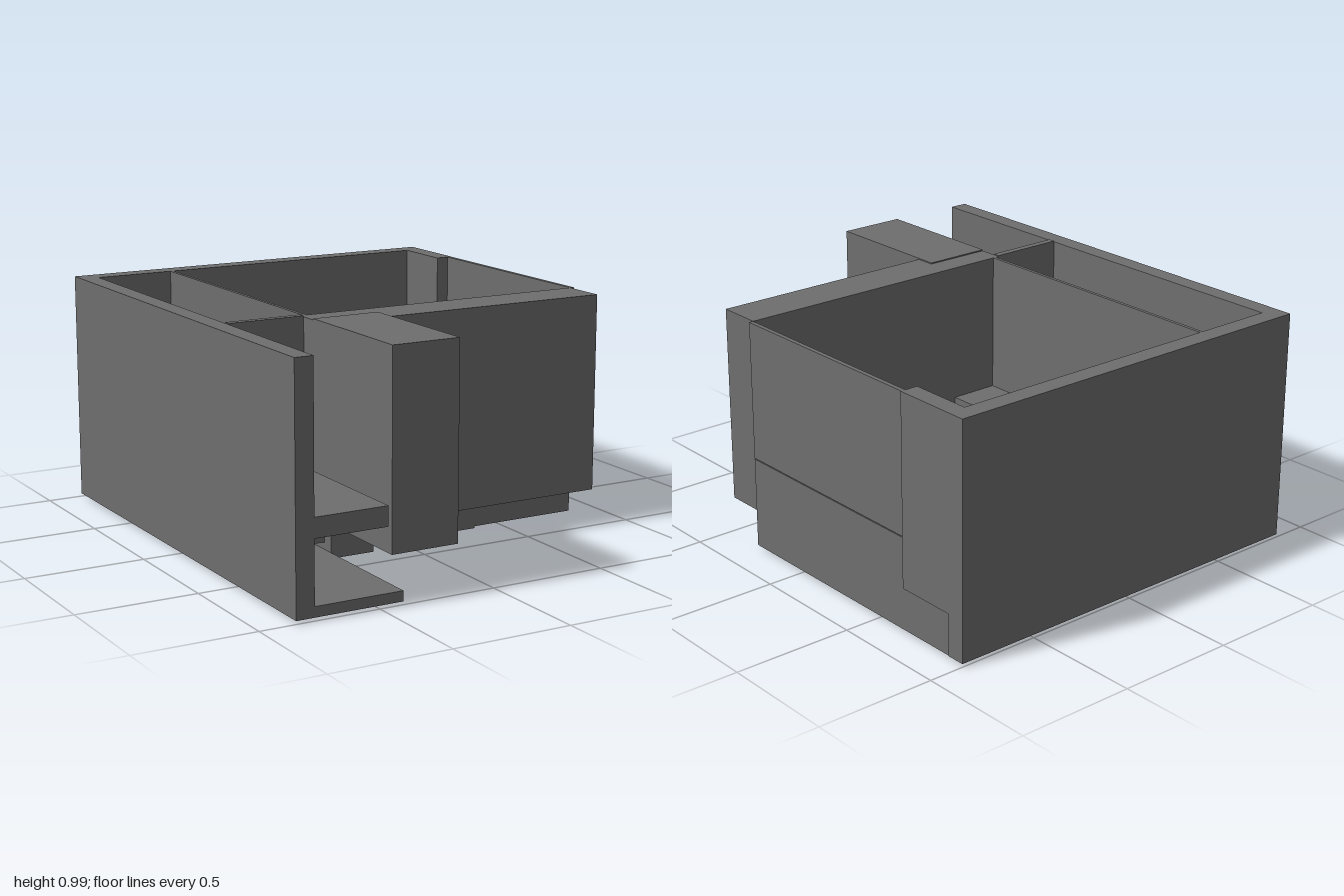
import * as THREE from 'three';

export function createModel() {
  const model = new THREE.Group();
  const material = new THREE.MeshStandardMaterial({ color: 0x6e6e6e, flatShading: true });

  // Box given by its low and high limits on each axis
  function block(name, [x0, x1], [y0, y1], [z0, z1]) {
    const mesh = new THREE.Mesh(new THREE.BoxGeometry(x1 - x0, y1 - y0, z1 - z0), material);
    mesh.position.set((x0 + x1) / 2, (y0 + y1) / 2, (z0 + z1) / 2);
    mesh.name = name;
    model.add(mesh);
  }

  const base = 0.013, top = 0.98;

  // Outer walls
  block('backWall', [-0.85, 0.85], [base, top], [-1, -0.92]);
  block('rightWall', [-0.85, -0.773], [base, top], [-0.92, 1]);
  block('leftWallColumn', [0.773, 0.85], [0.187, top], [-0.92, -0.655]);
  block('leftWallFoot', [0.773, 0.847], [base, 0.187], [-0.92, -0.655]);
  block('leftWallBase', [0.773, 0.847], [base, 0.396], [-0.655, 0.3]);
  block('leftWallPanel', [0.828, 0.847], [0.4, top], [-0.655, 0.3]);
  block('frontWall', [-0.205, 0.828], [0.155, top], [0.3, 0.49]);
  block('frontWallBehindPorch', [-0.45, -0.205], [0.2, top], [0.3, 0.405]);

  // Floors and inner walls
  block('mainFloor', [-0.42, 0.773], [base, 0.155], [-0.92, 0.3]);
  block('sideFloor', [-0.773, -0.42], [base, 0.055], [-0.92, 0.3]);
  block('partition', [-0.435, -0.42], [base, top], [-0.92, 0.3]);
  block('crossWall', [-0.773, -0.45], [0.055, 0.984], [0.3, 0.33]);

  // Steps climbing to a landing beside a low parapet
  const edges = [0.367, 0.222, 0.077, -0.068, -0.205, -0.42];
  const undersides = [0.005, 0.009, 0.004, 0, 0.006];
  for (let i = 0; i < 5; i++) {
    block(i < 4 ? 'step' : 'landing', [edges[i + 1], edges[i]],
      [undersides[i], 0.2 + i * 0.048], [-0.655, 0.3]);
  }
  block('parapet', [-0.42, 0.367], [0.008, 0.51], [-0.725, -0.655]);

  // Porch: slab, shelf, hanging box and its support
  block('porchSlab', [-0.85, -0.4], [base, 0.055], [0.3, 1]);
  block('porchShelf', [-0.773, -0.465], [0.31, 0.39], [0.33, 1]);
  block('porchSideWall', [-0.465, -0.4], [0.085, 0.39], [0.3, 0.4]);
  block('porchBox', [-0.45, -0.163], [0.2, 0.985], [0.405, 1]);
  block('porchSupport', [-0.4, -0.207], [0.03, 0.2], [0.3, 0.45]);

  return model;
}
